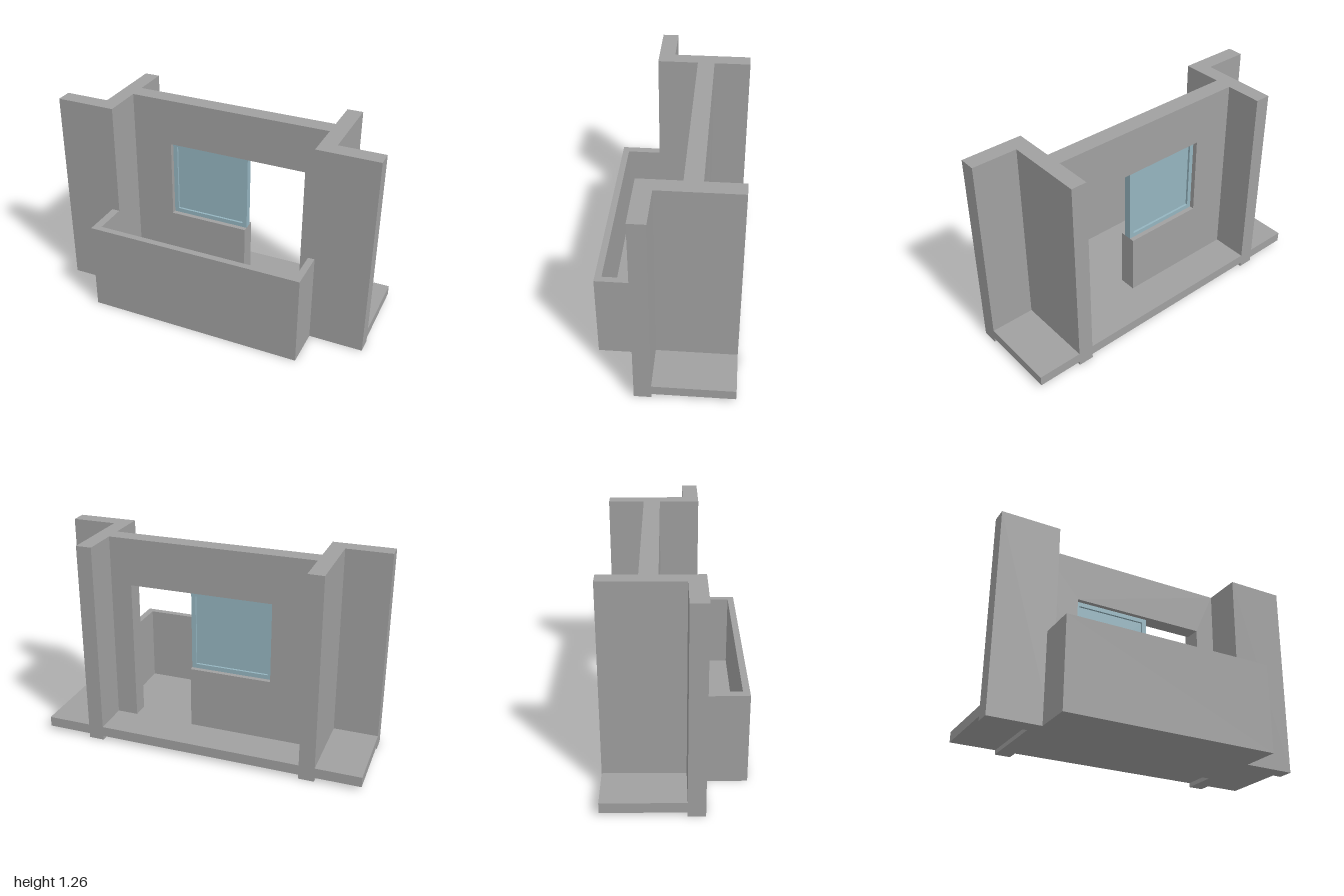
import * as THREE from 'three';

const concrete = new THREE.MeshStandardMaterial({ color: 0xa0a0a0 });
concrete.name = 'grey concrete';
const glass = new THREE.MeshStandardMaterial({ color: 0x94b4bf });
glass.name = 'pale blue glass';

const HEIGHT = 1.26, FLOOR = 0.09, SLAB = 0.027;

function add(parent, name, geometry, material) {
  const mesh = new THREE.Mesh(geometry, material);
  mesh.name = name;
  parent.add(mesh);
  return mesh;
}

// Box given by its limits on each axis
function box(parent, name, [x0, x1], [y0, y1], [z0, z1], material = concrete) {
  const mesh = add(parent, name, new THREE.BoxGeometry(x1 - x0, y1 - y0, z1 - z0), material);
  mesh.position.set((x0 + x1) / 2, (y0 + y1) / 2, (z0 + z1) / 2);
  return mesh;
}

const outline = (pts) => new THREE.Shape(pts.map(([x, y]) => new THREE.Vector2(x, y)));

// Upright prism from a floor plan of [x, z] points
function plan(parent, name, pts, height) {
  const geometry = new THREE.ExtrudeGeometry(outline(pts.map(([x, z]) => [x, -z])), { depth: height, bevelEnabled: false });
  geometry.rotateX(-Math.PI / 2);
  return add(parent, name, geometry, concrete);
}

export function createModel() {
  const model = new THREE.Group();
  model.name = 'balconyBay';

  // Party walls with front wings, and the floor slab outside each
  for (const [side, s] of [['left', 1], ['right', -1]]) {
    plan(model, `${side}PartyWall`, [
      [0.63, -0.415], [0.725, -0.415], [0.725, 0.065], [1, 0.065], [1, 0.165], [0.63, 0.165],
    ].map(([x, z]) => [s * x, z]), HEIGHT);
    box(model, `${side}SideSlab`, s > 0 ? [0.725, 1] : [-1, -0.725], [SLAB, FLOOR], [-0.415, 0.065]);
  }

  // Floors: thin indoors, thick below the facade and the balcony
  box(model, 'roomFloor', [-0.63, 0.63], [SLAB, FLOOR], [-0.415, -0.19]);
  box(model, 'balconyFloor', [-0.63, 0.63], [0, FLOOR], [-0.19, 0.375]);

  // Facade with a door opening that joins the window opening
  const facade = outline([
    [-0.63, FLOOR], [0.125, FLOOR], [0.125, 0.475], [-0.38, 0.475], [-0.38, 0.97],
    [0.5, 0.97], [0.5, FLOOR], [0.63, FLOOR], [0.63, HEIGHT], [-0.63, HEIGHT],
  ]);
  const wall = add(model, 'facadeWall', new THREE.ExtrudeGeometry(facade, { depth: 0.105, bevelEnabled: false }), concrete);
  wall.position.z = -0.19;

  // U-shaped balcony parapet
  plan(model, 'parapet', [
    [-0.68, 0.165], [-0.68, 0.415], [0.67, 0.415], [0.67, 0.165],
    [0.63, 0.165], [0.63, 0.375], [-0.63, 0.375], [-0.63, 0.165],
  ], 0.563);

  // Window: raised frame around a thinner pane
  const windowGroup = new THREE.Group();
  windowGroup.name = 'window';
  model.add(windowGroup);
  const frame = outline([[-0.38, 0.475], [0.125, 0.475], [0.125, 0.97], [-0.38, 0.97]]);
  frame.holes.push(outline([[-0.353, 0.502], [-0.353, 0.943], [0.098, 0.943], [0.098, 0.502]]));
  const frameMesh = add(windowGroup, 'windowFrame', new THREE.ExtrudeGeometry(frame, { depth: 0.046, bevelEnabled: false }), glass);
  frameMesh.position.z = -0.161;
  box(windowGroup, 'windowPane', [-0.353, 0.098], [0.502, 0.943], [-0.147, -0.129], glass);

  return model;
}
